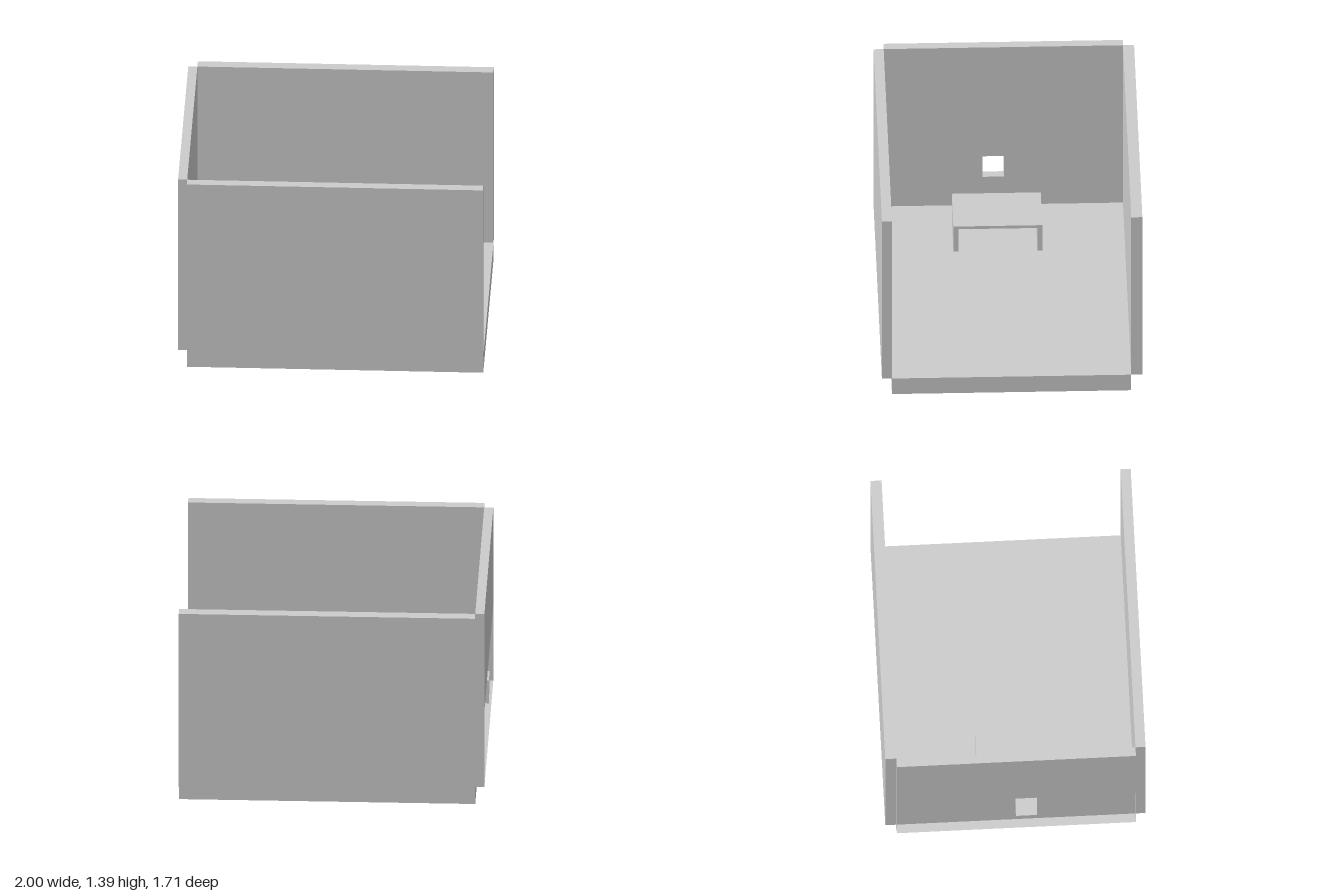
import * as THREE from 'three';

const solid = new THREE.MeshStandardMaterial({ color: 0xcccccc, flatShading: true });
const thin = new THREE.MeshStandardMaterial({ color: 0xcccccc, flatShading: true, side: THREE.DoubleSide });

// Box given by its min and max corners
function box(name, [x0, y0, z0], [x1, y1, z1]) {
  const mesh = new THREE.Mesh(new THREE.BoxGeometry(x1 - x0, y1 - y0, z1 - z0), solid);
  mesh.position.set((x0 + x1) / 2, (y0 + y1) / 2, (z0 + z1) / 2);
  mesh.name = name;
  return mesh;
}

// Rectangle in the z-y plane
function rect(Type, z0, z1, y0, y1) {
  const r = new Type();
  r.moveTo(z0, y0).lineTo(z1, y0).lineTo(z1, y1).lineTo(z0, y1).closePath();
  return r;
}

// Upright sheet facing sideways, placed at the given x
function sheet(name, shape, x) {
  const mesh = new THREE.Mesh(new THREE.ShapeGeometry(shape), thin);
  mesh.rotation.y = -Math.PI / 2;
  mesh.position.x = x;
  mesh.name = name;
  return mesh;
}

// Open-ended rectangular sleeve running along x
function sleeve(name, x0, x1, z0, z1, y0, y1) {
  const group = new THREE.Group();
  group.name = name;
  const w = x1 - x0, cx = (x0 + x1) / 2;
  for (const y of [y0, y1]) {
    const m = new THREE.Mesh(new THREE.PlaneGeometry(w, z1 - z0), thin);
    m.rotation.x = -Math.PI / 2;
    m.position.set(cx, y, (z0 + z1) / 2);
    m.name = name + (y === y0 ? 'Bottom' : 'Top');
    group.add(m);
  }
  for (const z of [z0, z1]) {
    const m = new THREE.Mesh(new THREE.PlaneGeometry(w, y1 - y0), thin);
    m.position.set(cx, (y0 + y1) / 2, z);
    m.name = name + (z === z0 ? 'BackSide' : 'FrontSide');
    group.add(m);
  }
  return group;
}

export function createModel() {
  const model = new THREE.Group();
  model.name = 'openRoom';
  const floorY = 0.125, topY = 1.39, innerX = -0.94, outerX = -1;
  const backZ = -0.78, frontZ = 0.787;

  // Floor slab and the two long walls
  model.add(
    box('floorSlab', [innerX, 0, backZ], [1, floorY, frontZ]),
    box('frontWall', [innerX, floorY, frontZ], [1, topY, 0.853]),
    box('backWall', [innerX, floorY, -0.853], [1, topY, backZ]),
  );

  // Hollow end wall: outer skin covers only the upper half
  const wall = new THREE.Group();
  wall.name = 'endWall';
  const inner = rect(THREE.Shape, backZ, frontZ, floorY, topY);
  inner.holes.push(rect(THREE.Path, 0, 0.14, 0.35, 0.515));
  wall.add(
    sheet('innerSkin', inner, innerX),
    sheet('upperOuterSkin', rect(THREE.Shape, backZ, frontZ, 0.68, topY), outerX),
    sleeve('wallEdge', outerX, innerX, backZ, frontZ, floorY, topY),
    sleeve('windowFrame', outerX, innerX, 0, 0.14, 0.35, 0.515),
  );
  model.add(wall);

  // Low bench inside, below the window
  const bench = new THREE.Group();
  bench.name = 'bench';
  bench.add(
    box('benchTop', [-0.78, 0.31, -0.237], [-0.41, 0.332, 0.345]),
    box('benchBackLeg', [-0.78, 0.13, -0.237], [-0.41, 0.31, -0.205]),
    box('benchFrontLeg', [-0.78, 0.13, 0.312], [-0.41, 0.31, 0.345]),
  );
  model.add(bench);
  return model;
}
